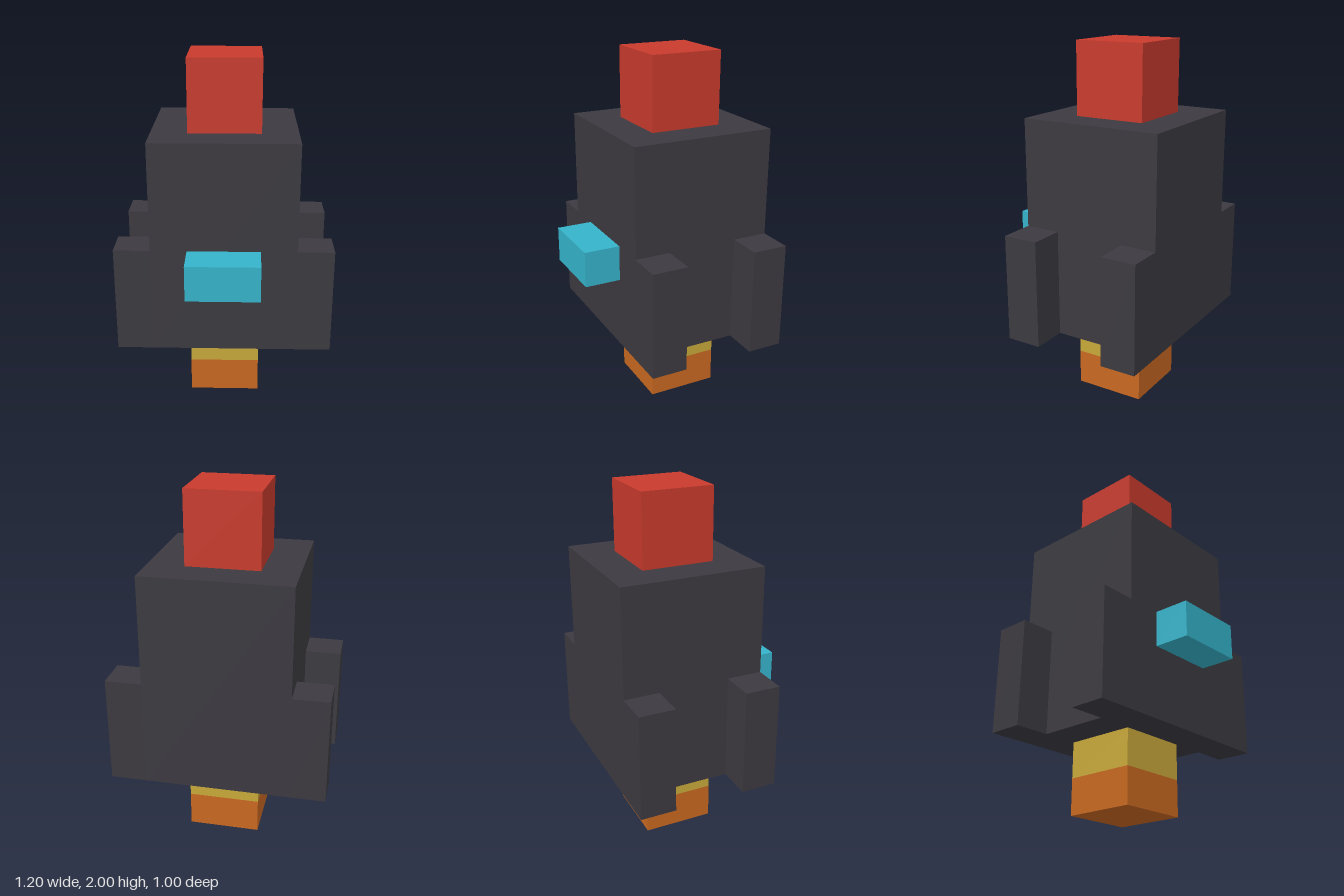
import * as THREE from 'three';

const paint = (name, color) => {
  const m = new THREE.MeshStandardMaterial({ color });
  m.name = name;
  return m;
};

// Box given by its minimum and maximum corners
function block(name, material, [x0, y0, z0], [x1, y1, z1]) {
  const mesh = new THREE.Mesh(new THREE.BoxGeometry(x1 - x0, y1 - y0, z1 - z0), material);
  mesh.name = name;
  mesh.position.set((x0 + x1) / 2, (y0 + y1) / 2, (z0 + z1) / 2);
  return mesh;
}

export function createModel() {
  const charcoal = paint('charcoal', 0x3c3a40);
  const red = paint('red', 0xc83a2c);
  const cyan = paint('cyan', 0x35b3ca);
  const yellow = paint('flame yellow', 0xc8a83a);
  const orange = paint('flame orange', 0xc86820);

  const rocket = new THREE.Group();
  rocket.name = 'rocket';

  // Hull, nose and front window
  rocket.add(
    block('hull', charcoal, [-0.4, 0.4, -0.5], [0.4, 1.6, 0.3]),
    block('nose', red, [-0.2, 1.6, -0.3], [0.2, 2, 0.1]),
    block('window', cyan, [-0.2, 0.8, 0.3], [0.2, 1, 0.5])
  );

  // Four fins, flush with the hull's front and back
  for (const [side, x] of [['left', 0.4], ['right', -0.6]]) {
    for (const [end, z] of [['Front', 0.1], ['Back', -0.5]]) {
      rocket.add(block(`${side}${end}Fin`, charcoal, [x, 0.4, z], [x + 0.2, 1, z + 0.2]));
    }
  }

  // Two-tone exhaust flame
  rocket.add(
    block('upperFlame', yellow, [-0.2, 0.2, -0.3], [0.2, 0.4, 0.1]),
    block('lowerFlame', orange, [-0.2, 0, -0.3], [0.2, 0.2, 0.1])
  );
  return rocket;
}
